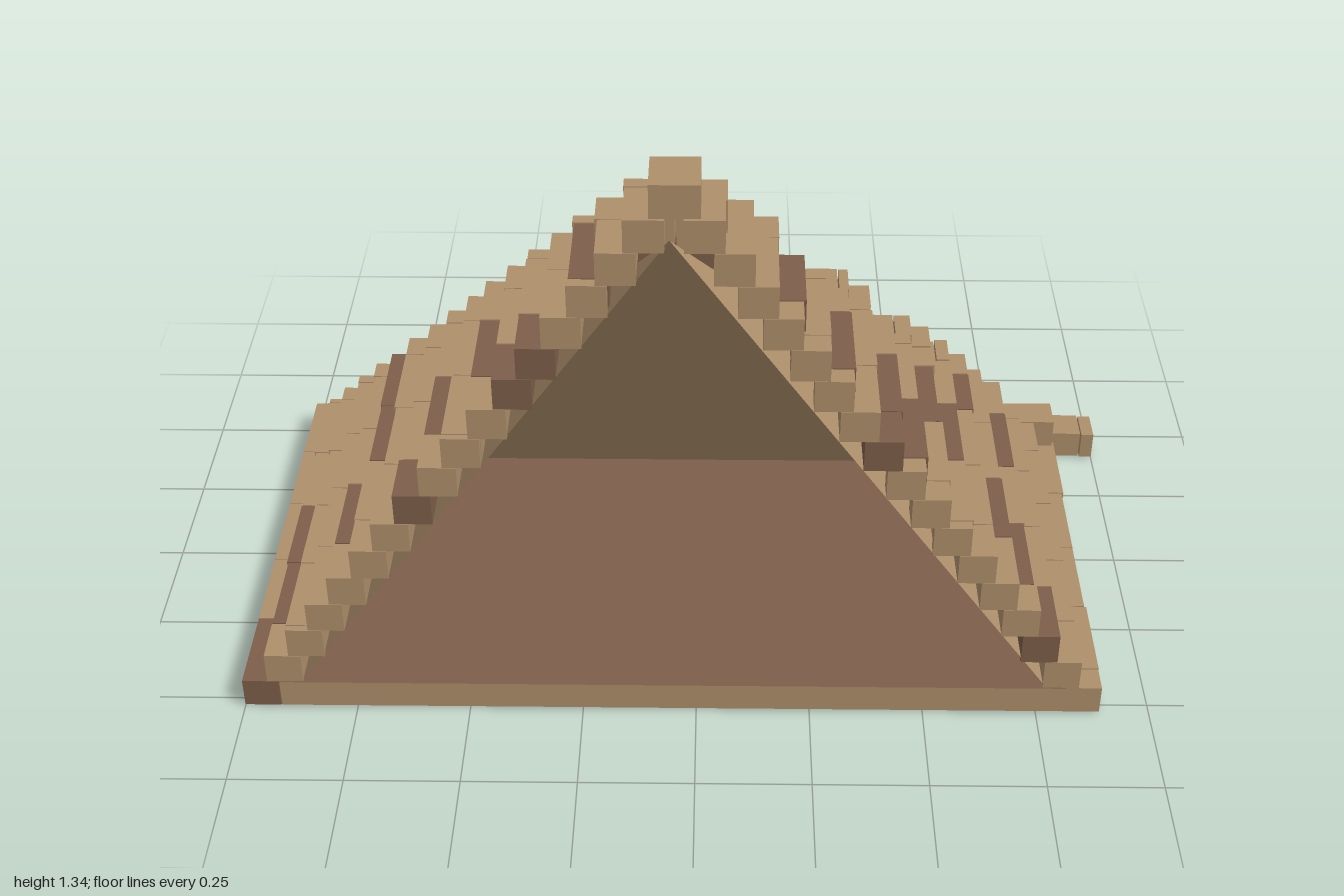
import * as THREE from 'three';

const LAYERS = 18, H = 0.0742, BRICK = 0.21, WIDE = 0.08, FRONT = 0.525;

// Per layer: one joint position, then the offsets of dark bricks counted from it
const RIGHT = [[-0.165], [0.18], [0.36, 0], [0.23, 0, -2], [0.16, 0], [-0.21, 0], [0.08, 0], [0.04, 0], [0.27, 0],
  [0.21, 0, 1], [0.15], [0.27, 0], [0.26], [0.25, 0], [0.33], [0.39], [0.4]];
const LEFT = [[0.32, 0], [0, 0, 1], [0.3], [0.12], [0.2, 0], [-0.21, 0, 1], [0.32], [0.4, 0], [0.2, 0],
  [0.3], [0.2, 0], [0.4, 0], [0.4, 0], [0.35], [0.29, 0], [0.4], [0.4]];
const BACK = [[-0.92, 0, 1], [0.47, 0, -4], [0.1], [0.17, 0], [0.05], [0.24, 0, -3], [0.13], [-0.5, 0], [0.02],
  [-0.1], [0.05], [-0.12, 0], [-0.1], [-0.16], [-0.16, 0], [-0.04], [-0.04]];
// Back courses whose +x end differs from the regular slope
const BACK_END = { 0: 1, 1: 0.89, 2: 0.62, 9: 0.32, 12: 0.04, 13: 0.06 };

export function createModel() {
  const tan = new THREE.MeshStandardMaterial({ color: 0xae8f6b, flatShading: true });
  tan.name = 'sandstone';
  const brown = new THREE.MeshStandardMaterial({ color: 0x7d5e49, flatShading: true });
  brown.name = 'darkStone';
  tan.side = THREE.DoubleSide;

  const model = new THREE.Group();
  model.name = 'steppedHalfPyramid';

  let seed = 7;
  const jitter = (amount) => {
    seed = (seed * 16807) % 2147483647;
    return (seed / 2147483647 - 0.5) * amount;
  };

  function box(parent, name, material, x0, x1, y0, y1, z0, z1) {
    const mesh = new THREE.Mesh(new THREE.BoxGeometry(x1 - x0, y1 - y0, z1 - z0), material);
    mesh.position.set((x0 + x1) / 2, (y0 + y1) / 2, (z0 + z1) / 2);
    mesh.name = name;
    parent.add(mesh);
  }

  // Cut a run into bricks and hand each one to place(start, end, material)
  function course(from, to, [joint, ...dark], place) {
    const first = Math.floor((from - joint) / BRICK);
    for (let k = first; joint + k * BRICK < to; k++) {
      const a = Math.max(from, joint + k * BRICK);
      const b = Math.min(to, joint + (k + 1) * BRICK);
      if (b - a > 0.015) place(a, b - (b < to ? 0.003 : 0), dark.includes(k) ? brown : tan);
    }
  }

  // Three stepped brick walls
  const leftWall = new THREE.Group(), rightWall = new THREE.Group(), backWall = new THREE.Group();
  rightWall.name = 'negativeSideWall';
  leftWall.name = 'positiveSideWall';
  backWall.name = 'backWall';
  model.add(leftWall, rightWall, backWall);

  for (let i = 0; i < LAYERS - 1; i++) {
    const y0 = i * H + (i ? 0 : 0.004), y1 = (i + 1) * H - 0.001;
    const xMin = -1 + 0.0535 * i, xMax = 0.89 - 0.0518 * i, zMin = -0.49 + 0.0535 * i;

    course(zMin - (i ? 0 : 0.037), FRONT, LEFT[i], (a, b, material) => {
      const j = i ? jitter(0.008) : 0;
      box(rightWall, 'brick', material, xMin + j, xMin + WIDE + j, y0, y1, a, b);
    });
    course(zMin + WIDE, FRONT, RIGHT[i], (a, b, material) => {
      const j = jitter(0.008);
      box(leftWall, 'brick', material, xMax - WIDE + j, xMax + j, y0, y1, a, b);
    });
    course(xMin + WIDE, BACK_END[i] ?? xMax, BACK[i], (a, b, material) => {
      const j = jitter(0.014);
      box(backWall, 'brick', material, a, b, y0, y1, zMin + j, zMin + WIDE + j);
    });
  }

  // Single capping block
  box(model, 'capstone', tan, -0.09, 0.01, 17 * H, 1.335, 0.41, 0.52);

  // Floor slab: tan edges, dark top and bottom, with a thin plate underneath
  box(model, 'floor', [tan, tan, brown, brown, tan, tan], -0.918, 0.83, 0.004, 0.071, -0.41, FRONT);
  box(model, 'underside', brown, -0.985, 0.87, 0, 0.004, -0.46, 0.52);

  // Smooth inner chamber: three sloping faces, open at the front
  const apex = [-0.05, 1.215, FRONT - 0.002];
  const ring = [[0.77, FRONT - 0.002], [0.77, -0.295], [-0.87, -0.295], [-0.87, FRONT - 0.002]];
  const points = [];
  for (let k = 0; k < 3; k++) {
    const [a, b] = [ring[k], ring[k + 1]];
    points.push(a[0], 0.07, a[1], b[0], 0.07, b[1], ...apex);
  }
  const chamber = new THREE.BufferGeometry();
  chamber.setAttribute('position', new THREE.Float32BufferAttribute(points, 3));
  chamber.computeVertexNormals();
  const chamberMesh = new THREE.Mesh(chamber, tan);
  chamberMesh.name = 'innerChamber';
  model.add(chamberMesh);

  return model;
}
